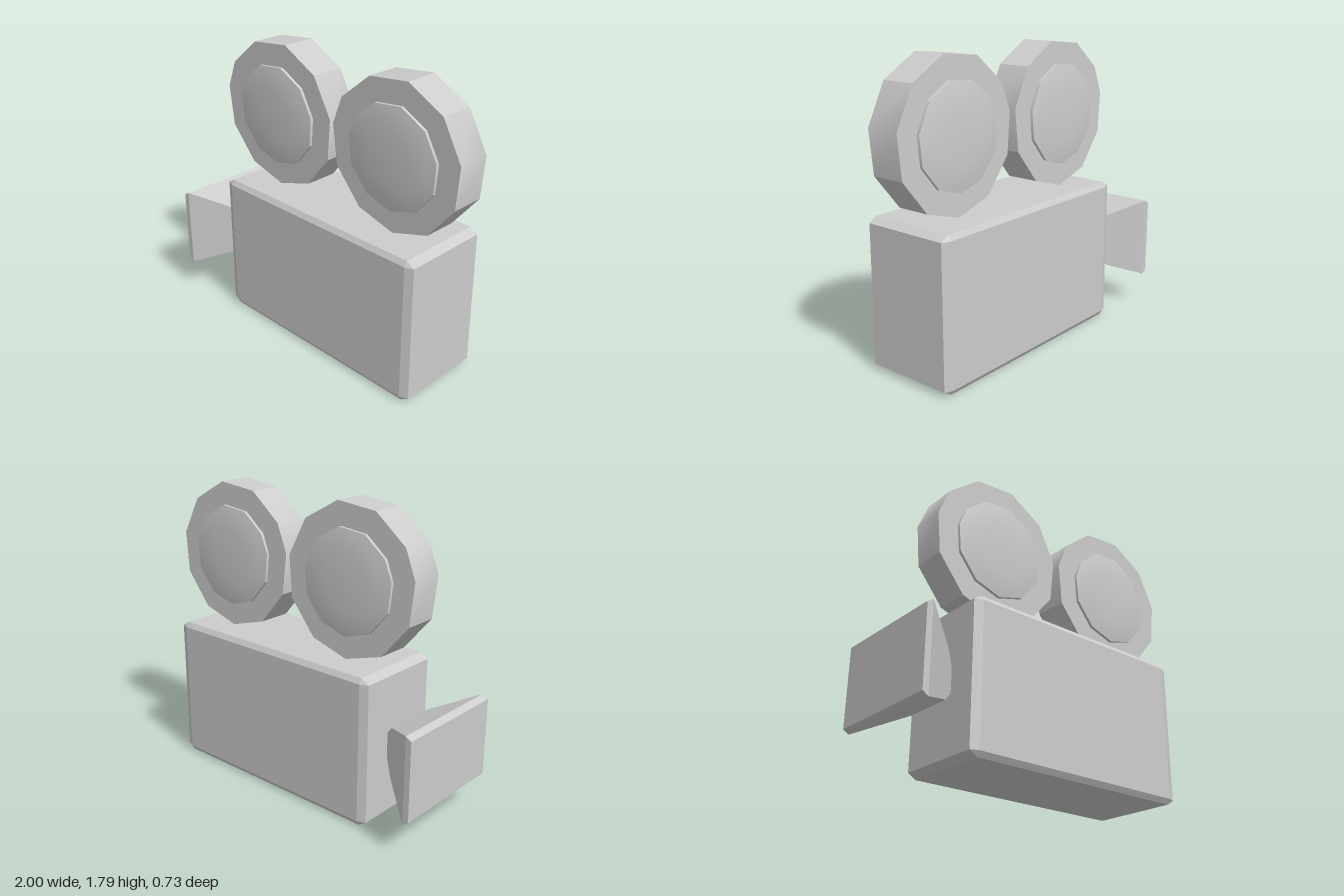
import * as THREE from 'three';
import { toCreasedNormals } from 'three/addons/utils/BufferGeometryUtils.js';
import { ConvexGeometry } from 'three/addons/geometries/ConvexGeometry.js';

// Slightly irregular eleven-sided reel outline, counter-clockwise, around its centre
const OUTLINE = [
  [0.005, -0.445], [0.247, -0.372], [0.415, -0.168], [0.438, 0.085],
  [0.317, 0.315], [0.087, 0.443], [-0.173, 0.415], [-0.373, 0.252],
  [-0.441, 0.082], [-0.415, -0.168], [-0.243, -0.372],
];

// Reel rings from the front dome to the rim: [scale, z]; the back mirrors them
const HALF = [[0, 0.143], [0.35, 0.141], [0.55, 0.134], [0.69, 0.122], [0.69, 0.104], [1, 0.104]];

function reelGeometry() {
  const rings = [...HALF, ...HALF.map(([s, z]) => [s, -z]).reverse()];
  const n = OUTLINE.length;
  // Each reel leans very slightly
  const point = (i, j) => {
    const [s, z] = rings[i];
    const [x, y] = OUTLINE[j % n];
    return [x * s, y * s, z + 0.0175 * y * s - 0.012 * x * s];
  };
  const positions = [];
  for (let i = 0; i < rings.length - 1; i++) {
    for (let j = 0; j < n; j++) {
      const a = point(i, j), b = point(i, j + 1);
      const c = point(i + 1, j + 1), d = point(i + 1, j);
      if (rings[i + 1][0] > 0) positions.push(...a, ...d, ...c);
      if (rings[i][0] > 0) positions.push(...a, ...c, ...b);
    }
  }
  const geometry = new THREE.BufferGeometry();
  geometry.setAttribute('position', new THREE.Float32BufferAttribute(positions, 3));
  return toCreasedNormals(geometry, THREE.MathUtils.degToRad(33));
}

// Box with all edges chamfered by a different amount along each axis
function chamferedBox(hx, hy, hz, cx, cy, cz) {
  const points = [];
  for (const x of [-1, 1]) for (const y of [-1, 1]) for (const z of [-1, 1]) {
    points.push(
      new THREE.Vector3(x * hx, y * (hy - cy), z * (hz - cz)),
      new THREE.Vector3(x * (hx - cx), y * hy, z * (hz - cz)),
      new THREE.Vector3(x * (hx - cx), y * (hy - cy), z * hz),
    );
  }
  return new ConvexGeometry(points);
}

// Rectangular sections along x: [x, half height, half depth]
function hornGeometry() {
  const sections = [[-1, 0.235, 0.367], [-0.965, 0.257, 0.367], [-0.72, 0.15, 0.155], [-0.6, 0.03, 0.051]];
  const points = [];
  for (const [x, h, d] of sections)
    for (const y of [-h, h]) for (const z of [-d, d]) points.push(new THREE.Vector3(x, y, z));
  return new ConvexGeometry(points);
}

export function createModel() {
  const model = new THREE.Group();
  model.name = 'movieCamera';
  const grey = new THREE.MeshStandardMaterial({ color: 0xcccccc });
  grey.name = 'light grey';

  const add = (name, geometry, x, y) => {
    const mesh = new THREE.Mesh(geometry, grey);
    mesh.name = name;
    mesh.position.set(x, y, 0);
    model.add(mesh);
  };

  // Camera body
  add('body', chamferedBox(0.758, 0.449, 0.29, 0.05, 0.031, 0.02), 0.113, 0.449);

  // Flared lens hood at the right end
  add('lensHood', hornGeometry(), 0, 0.455);

  // Two film reels with domed hubs on both faces
  const reel = reelGeometry();
  add('rightReel', reel, -0.355, 1.345);
  add('leftReel', reel, 0.56, 1.345);

  return model;
}
